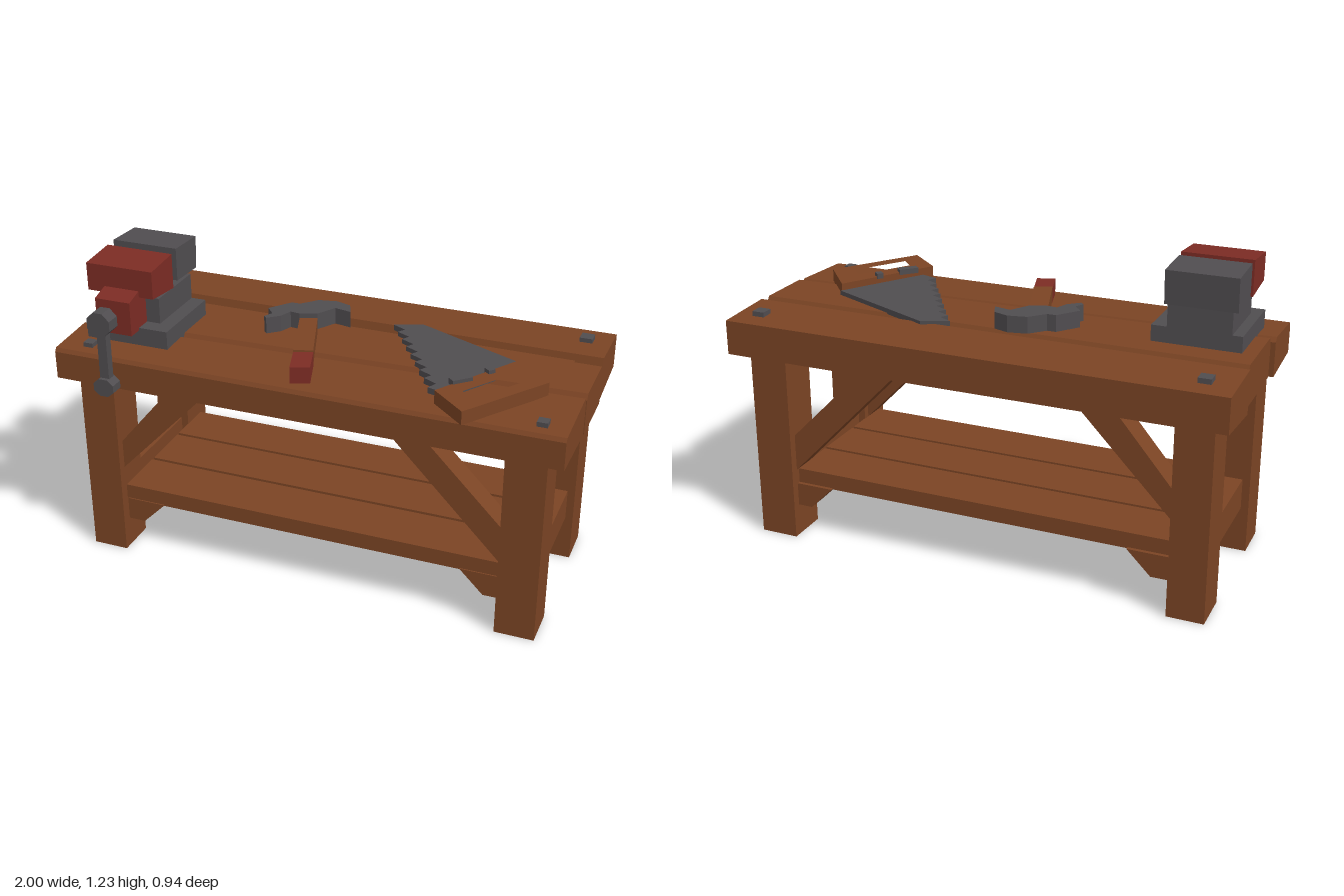
import * as THREE from 'three';
import { ConvexGeometry } from 'three/addons/geometries/ConvexGeometry.js';

const mat = (name, color) => {
  const m = new THREE.MeshStandardMaterial({ color });
  m.name = name;
  return m;
};

export function createModel() {
  const root = new THREE.Group();
  root.name = 'workbench';
  const wood = mat('wood', 0x7b4424);
  const steel = mat('dark steel', 0x504d50);
  const red = mat('red paint', 0x7c2c24);

  const add = (name, geo, material, parent = root) => {
    const m = new THREE.Mesh(geo, material);
    m.name = name;
    parent.add(m);
    return m;
  };
  const group = (name) => {
    const g = new THREE.Group();
    g.name = name;
    root.add(g);
    return g;
  };
  // Block given by its limits on each axis
  const block = (name, [x0, x1], [y0, y1], [z0, z1], material, parent) => {
    const geo = new THREE.BoxGeometry(x1 - x0, y1 - y0, z1 - z0);
    geo.translate((x0 + x1) / 2, (y0 + y1) / 2, (z0 + z1) / 2);
    return add(name, geo, material, parent);
  };
  const outline = (pts) => new THREE.Shape(pts.map(([x, y]) => new THREE.Vector2(x, y)));
  // Upright plate: x,y outline with a z range
  const upright = (name, pts, z0, z1, material, parent) => {
    const geo = new THREE.ExtrudeGeometry(outline(pts), { depth: z1 - z0, bevelEnabled: false });
    return add(name, geo.translate(0, 0, z0), material, parent);
  };
  // Lying plate: x,z outline with a y range and optional hole
  const lying = (name, pts, y0, y1, material, parent, hole) => {
    const shape = outline(pts.map(([x, z]) => [x, -z]));
    if (hole) shape.holes.push(outline(hole.map(([x, z]) => [x, -z])));
    const geo = new THREE.ExtrudeGeometry(shape, { depth: y1 - y0, bevelEnabled: false });
    return add(name, geo.rotateX(-Math.PI / 2).translate(0, y0, 0), material, parent);
  };
  // Plank between two z,y cross-sections at its left and right ends
  const plank = (name, xa, a, xb, b, parent) => add(name, new ConvexGeometry([
    ...a.map(([z, y]) => new THREE.Vector3(xa, y, z)),
    ...b.map(([z, y]) => new THREE.Vector3(xb, y, z)),
  ]), wood, parent);

  // Bench top: three rough planks with a split beside the rear one
  const top = group('benchTop');
  const rear = [[-0.465, 0.78], [-0.465, 0.917], [-0.212, 0.928], [-0.188, 0.85], [-0.21, 0.757]];
  plank('rearPlank', -0.995, rear, 0.995, rear, top);
  const middle = (z) => [[-0.17, 0.758], [-0.188, 0.845], [-0.165, 0.9], [-0.15, 0.922],
    [z - 0.015, 0.922], [z, 0.9], [z, 0.762]];
  plank('middlePlank', -0.98, middle(0.165), 1, middle(0.1), top);
  const front = (z) => [[z + 0.005, 0.762], [z + 0.005, 0.9], [z + 0.02, 0.918], [0.405, 0.905], [0.415, 0.89], [0.415, 0.78]];
  plank('frontPlank', -0.998, front(0.165), 0.998, front(0.1), top);
  block('splinter', [0.2, 0.89], [0.85, 0.905], [-0.2, -0.16], wood, top);

  // Corner bolts
  for (const x of [-0.88, 0.9]) {
    block('rearBolt', [x - 0.025, x + 0.025], [0.91, 0.94], [-0.385, -0.335], steel);
    block('frontBolt', [x - 0.02, x + 0.02], [0.89, 0.925], [0.325, 0.365], steel);
  }

  // Legs, side rails, braces and shelf brackets
  for (const [x0, x1] of [[-0.935, -0.79], [0.775, 0.93]]) {
    block('frontLeg', [x0, x1], [0, 0.79], [0.19, 0.355], wood);
    block('rearLeg', [x0, x1], [0, 0.79], [-0.41, -0.24], wood);
    block('sideRail', [x0 + 0.03, x1 - 0.03], [0.185, 0.31], [-0.25, 0.2], wood);
  }
  for (const [z0, z1] of [[0.22, 0.32], [-0.375, -0.275]]) {
    upright('leftBrace', [[0.3, 0.775], [0.78, 0.28], [0.78, 0.43], [0.44, 0.775]], z0, z1, wood);
    upright('rightBrace', [[-0.79, 0.37], [-0.4, 0.775], [-0.55, 0.775], [-0.79, 0.49]], z0, z1, wood);
    for (const s of [-1, 1]) {
      const b = [[0.785, 0.13], [0.785, 0.225], [0.62, 0.225], [0.715, 0.13]];
      upright('shelfBracket', b.map(([x, y]) => [s * x, y]), z0, z1, wood);
    }
  }

  // Shelf boards
  for (const [z0, z1] of [[-0.36, -0.15], [-0.135, 0.08], [0.095, 0.315]]) {
    block('shelfBoard', [-0.79, 0.778], [0.22, 0.285], [z0, z1], wood);
  }

  // Vice
  const vice = group('vice');
  block('viceBase', [-0.925, -0.58], [0.905, 0.985], [-0.05, 0.285], steel, vice);
  block('viceBody', [-0.885, -0.64], [0.98, 1.088], [-0.05, 0.22], steel, vice);
  const jaw = (name, pts, x0, x1, material) => add(name, new ConvexGeometry(
    pts.flatMap(([z, y]) => [x0, x1].map((x) => new THREE.Vector3(x, y, z)))), material, vice);
  jaw('rearJaw', [[0.052, 1.098], [0.052, 1.23], [-0.12, 1.222], [-0.112, 1.092]], -0.918, -0.645, steel);
  jaw('frontJaw', [[0.27, 1.105], [0.27, 1.215], [0.103, 1.228], [0.103, 1.088]], -0.915, -0.637, red);
  jaw('slide', [[0.345, 0.975], [0.345, 1.11], [0.27, 1.13], [0.22, 1.13], [0.22, 0.975]], -0.843, -0.697, red);

  // Vice handle: bar with eight-sided ends
  const knob = (name, y, rx, ry) => {
    const geo = new THREE.CylinderGeometry(1, 1, 0.06, 8).rotateY(Math.PI / 8).rotateX(Math.PI / 2);
    add(name, geo.scale(rx, ry, 1).translate(-0.763, y, 0.44).toNonIndexed(), steel, vice).geometry.computeVertexNormals();
  };
  knob('upperKnob', 1.063, 0.051, 0.051);
  knob('lowerKnob', 0.802, 0.045, 0.038);
  block('handleBar', [-0.782, -0.744], [0.82, 1.03], [0.422, 0.455], steel, vice);

  // Claw hammer
  const hammer = group('hammer');
  lying('hammerHead', [[-0.3, -0.04], [-0.235, -0.125], [-0.2, -0.125], [-0.145, -0.185], [-0.07, -0.2],
    [-0.01, -0.18], [0.015, -0.12], [-0.055, -0.135], [-0.1, -0.06], [-0.165, -0.035], [-0.205, -0.04],
    [-0.225, 0.01], [-0.27, 0.05], [-0.285, 0.035], [-0.265, 0]], 0.932, 0.998, steel, hammer);
  lying('hammerHandle', [[-0.165, -0.035], [-0.1, -0.06], [-0.005, 0.22], [-0.075, 0.245]], 0.922, 0.98, wood, hammer);
  lying('hammerGrip', [[-0.075, 0.245], [-0.005, 0.22], [0.033, 0.345], [-0.038, 0.37]], 0.908, 0.973, red, hammer);

  // Saw blade with a toothed edge
  const saw = group('saw');
  const edge = [];
  const teeth = 8;
  for (let i = 0; i < teeth; i++) {
    const t = i / teeth;
    const x = 0.17 + 0.29 * t, z = -0.19 + 0.46 * t;
    edge.push([x, z], [x + 0.055, z + 0.028]);
  }
  lying('sawBlade', [[0.275, -0.235], ...edge, [0.46, 0.28], [0.53, 0.3], [0.74, -0.025]], 0.917, 0.94, steel, saw);
  // Saw handle with a grip slot and rivets
  const handle = group('sawHandle');
  saw.add(handle);
  lying('handleFrame', [[0.735, -0.02], [0.868, 0.14], [0.64, 0.465], [0.505, 0.345]], 0.915, 0.968, wood, handle,
    [[0.735, 0.115], [0.78, 0.17], [0.645, 0.365], [0.6, 0.315]]);
  lying('upperRivet', [[0.645, 0.115], [0.668, 0.135], [0.65, 0.155], [0.627, 0.135]], 0.96, 0.982, steel, handle);
  lying('lowerRivet', [[0.585, 0.2], [0.61, 0.225], [0.553, 0.28], [0.53, 0.26]], 0.96, 0.982, steel, handle);

  return root;
}
